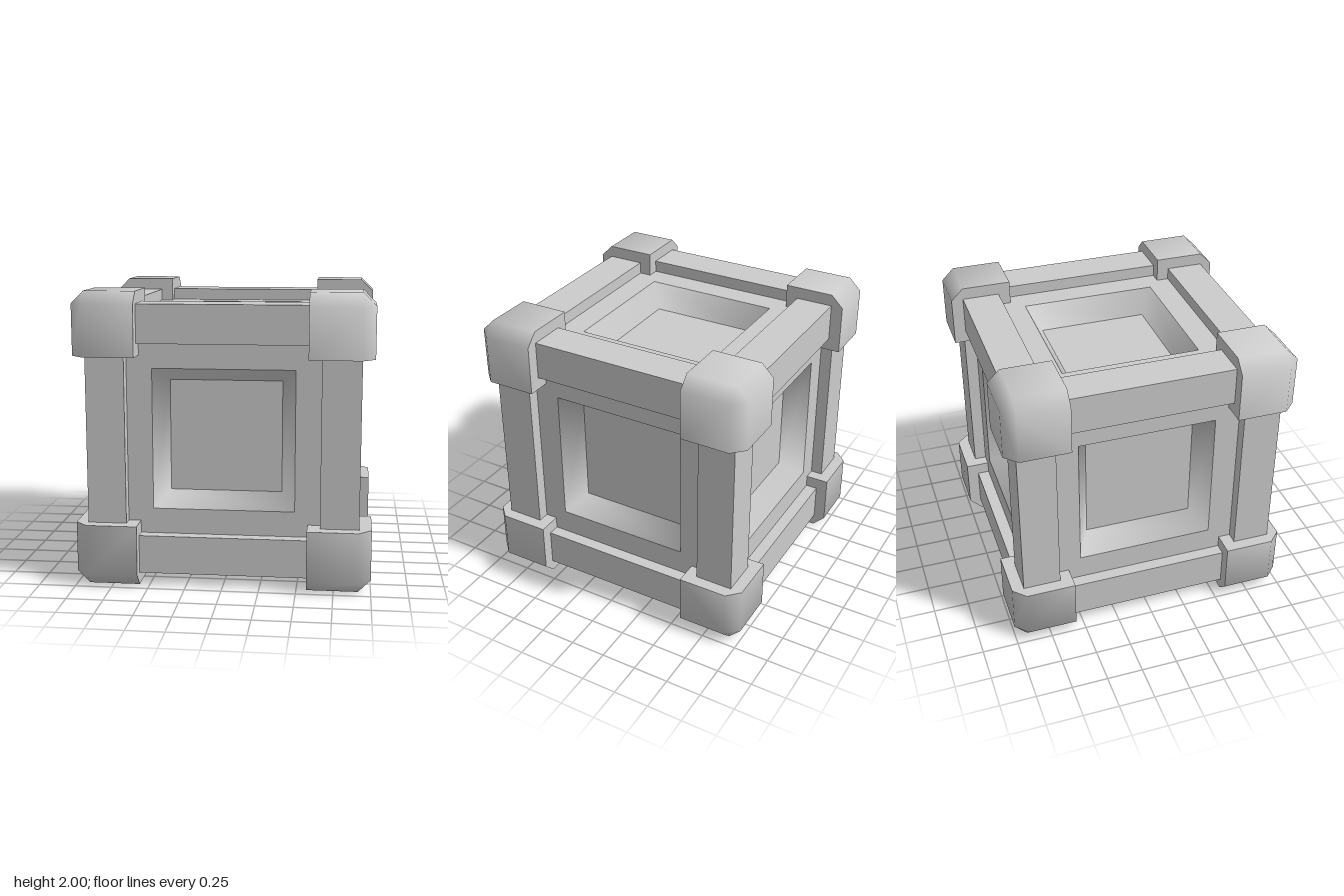
import * as THREE from 'three';
import { toCreasedNormals } from 'three/addons/utils/BufferGeometryUtils.js';
import { ConvexGeometry } from 'three/addons/geometries/ConvexGeometry.js';

const EDGE = 0.917;        // outer face of the edge bars
const BAR_IN = 0.655;      // inner face of the edge bars
const PANEL = 0.833;       // panel plane
const FLOOR = 0.667;       // bottom of the recess
const RIM = 0.482, RIM_IN = 0.385; // half widths of the recess
const CAP_IN = 0.57, CAP_CHAMFER = 0.915;

const material = new THREE.MeshStandardMaterial({ color: 0xcccccc });

function part(name, geometry) {
  const mesh = new THREE.Mesh(geometry, material);
  mesh.name = name;
  return mesh;
}

function square(path, h) {
  return path.moveTo(-h, -h).lineTo(h, -h).lineTo(h, h).lineTo(-h, h).closePath();
}

// One side of the box, facing +z: a plate with a sloped square recess
function createSide() {
  const side = new THREE.Group();
  side.name = 'sidePanel';

  const shape = square(new THREE.Shape(), PANEL);
  shape.holes.push(square(new THREE.Path(), RIM));
  side.add(part('panelPlate', new THREE.ShapeGeometry(shape).translate(0, 0, PANEL)));

  // Four sloped walls with normals blended around the corners
  const profile = [
    new THREE.Vector2(RIM * Math.SQRT2, PANEL),
    new THREE.Vector2(RIM_IN * Math.SQRT2, FLOOR),
  ];
  const walls = new THREE.LatheGeometry(profile, 4, Math.PI / 4).rotateX(Math.PI / 2);
  side.add(part('recessWalls', walls));

  const floor = new THREE.PlaneGeometry(2 * RIM_IN, 2 * RIM_IN).translate(0, 0, FLOOR);
  side.add(part('recessFloor', floor));
  return side;
}

// Corner cap: a cube with its three outer edges and outer tip chamfered
function createCap(sx, sy, sz) {
  const points = [new THREE.Vector3(CAP_IN, CAP_IN, CAP_IN)];
  for (const a of [CAP_IN, CAP_CHAMFER]) {
    for (const b of [CAP_IN, CAP_CHAMFER]) {
      points.push(
        new THREE.Vector3(1, a, b),
        new THREE.Vector3(a, 1, b),
        new THREE.Vector3(a, b, 1),
      );
    }
  }
  const sign = new THREE.Vector3(sx, sy, sz);
  points.forEach((p) => p.multiply(sign));
  const geometry = toCreasedNormals(new ConvexGeometry(points), THREE.MathUtils.degToRad(65));
  return part('cornerCap', geometry);
}

export function createModel() {
  const model = new THREE.Group();
  model.name = 'crate';
  const body = new THREE.Group();
  body.name = 'crateBody';
  body.position.y = 1;
  model.add(body);

  // Six recessed sides
  for (let i = 0; i < 4; i++) {
    const side = createSide();
    side.rotation.y = i * Math.PI / 2;
    body.add(side);
  }
  for (const s of [-1, 1]) {
    const side = createSide();
    side.rotation.x = s * Math.PI / 2;
    body.add(side);
  }

  // Twelve edge bars, four along each axis
  const width = EDGE - BAR_IN, middle = (EDGE + BAR_IN) / 2, length = 2 * CAP_IN + 0.04;
  for (let axis = 0; axis < 3; axis++) {
    const size = [width, width, width];
    size[axis] = length;
    for (const a of [-1, 1]) {
      for (const b of [-1, 1]) {
        const bar = part('edgeBar', new THREE.BoxGeometry(...size));
        bar.position.setComponent((axis + 1) % 3, a * middle);
        bar.position.setComponent((axis + 2) % 3, b * middle);
        body.add(bar);
      }
    }
  }

  // Eight corner caps
  for (const x of [-1, 1]) for (const y of [-1, 1]) for (const z of [-1, 1]) body.add(createCap(x, y, z));

  return model;
}
